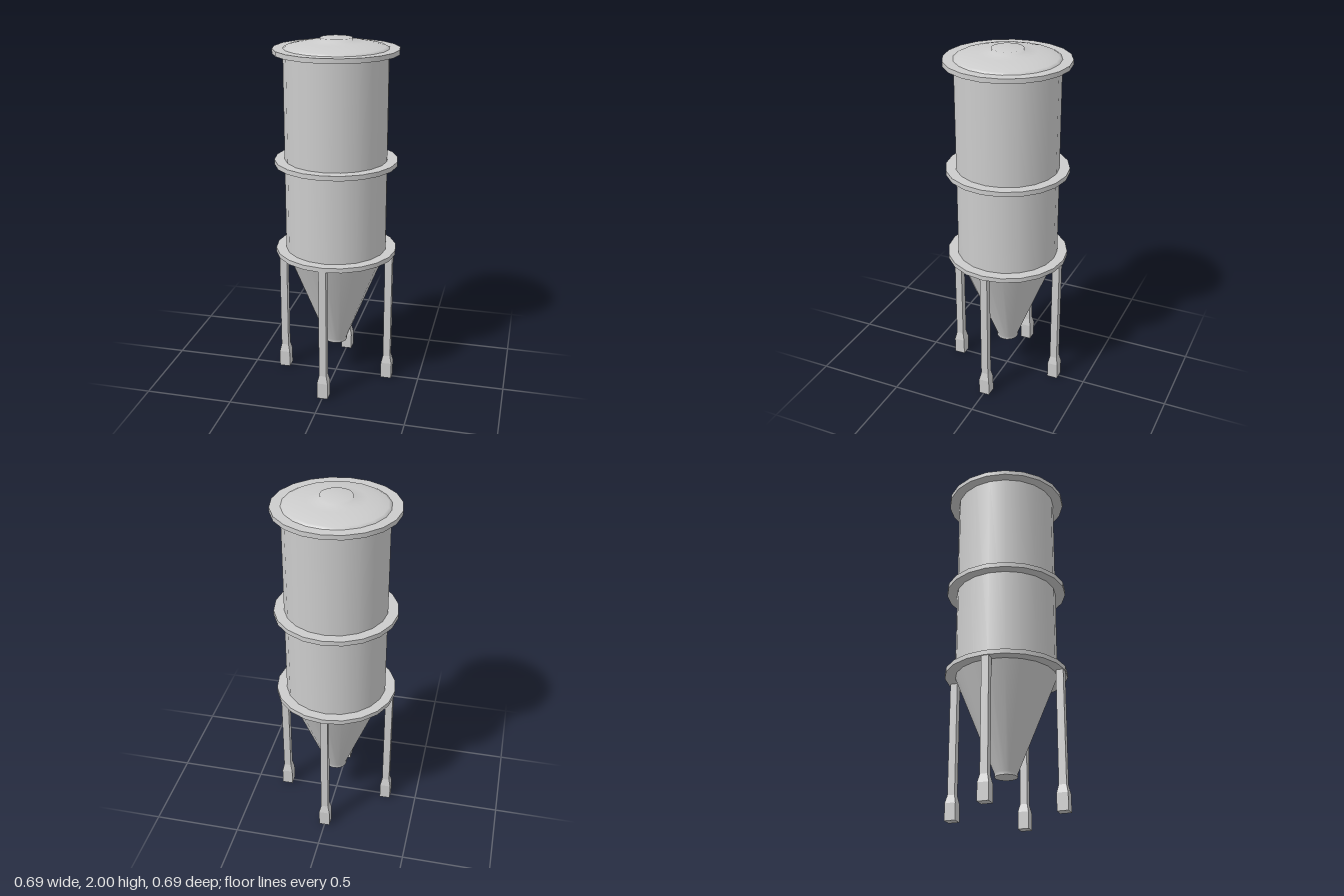
import * as THREE from 'three';

const SIDES = 20;
const BODY_R = 0.287;
const RING_R = 0.344;

export function createModel() {
  const model = new THREE.Group();
  model.name = 'silo';
  const smooth = new THREE.MeshStandardMaterial({ color: 0xcccccc });
  const flat = new THREE.MeshStandardMaterial({ color: 0xcccccc, flatShading: true });

  // the vessel and its rings share one axis
  const vessel = new THREE.Group();
  vessel.name = 'vessel';
  vessel.position.set(0.001, 0, -0.003);
  model.add(vessel);

  const add = (name, geometry, material, parent) => {
    const mesh = new THREE.Mesh(geometry, material);
    mesh.name = name;
    parent.add(mesh);
    return mesh;
  };
  const lathe = (name, points) => add(name,
    new THREE.LatheGeometry(points.map(([r, y]) => new THREE.Vector2(r, y)), SIDES), smooth, vessel);

  // cylindrical tank
  lathe('tank', [[BODY_R, 0.79], [BODY_R, 1.94]]);

  // discharge cone with a short straight outlet
  lathe('hopper', [[0.063, 0.212], [0.063, 0.232], [BODY_R, 0.79]]);
  const outlet = add('outletBottom', new THREE.CircleGeometry(0.063, SIDES), smooth, vessel);
  outlet.rotation.x = Math.PI / 2;
  outlet.position.y = 0.212;

  // domed roof running smoothly into the raised hatch
  lathe('roof', [
    [BODY_R, 1.935], [BODY_R, 1.946], [0.27, 1.955], [0.22, 1.967],
    [0.16, 1.977], [0.088, 1.984], [0.087, 2.0], [0, 2.0],
  ]);

  // flat reinforcing rings
  const rings = [['lowerRing', 0.784, 0.81], ['middleRing', 1.306, 1.333], ['topRing', 1.919, 1.945]];
  for (const [name, y0, y1] of rings) {
    const ring = add(name, new THREE.CylinderGeometry(RING_R, RING_R, y1 - y0, SIDES), smooth, vessel);
    ring.position.y = (y0 + y1) / 2;
  }

  // four square legs, each with a wide foot tapering into a slim shaft
  const levels = [[0, 0.031], [0.095, 0.031], [0.14, 0.021], [0.787, 0.021]];
  const legGeometry = new THREE.BoxGeometry(1, 1, 1, 1, levels.length - 1, 1);
  const pos = legGeometry.attributes.position;
  for (let i = 0; i < pos.count; i++) {
    const [y, half] = levels[Math.round((pos.getY(i) + 0.5) * (levels.length - 1))];
    pos.setXYZ(i, Math.sign(pos.getX(i)) * half, y, Math.sign(pos.getZ(i)) * half);
  }
  const legs = [
    ['frontLeg', 0.001, 0.313], ['backLeg', 0.001, -0.311],
    ['leftLeg', 0.311, -0.003], ['rightLeg', -0.314, -0.003],
  ];
  for (const [name, x, z] of legs) add(name, legGeometry, flat, model).position.set(x, 0, z);

  return model;
}
